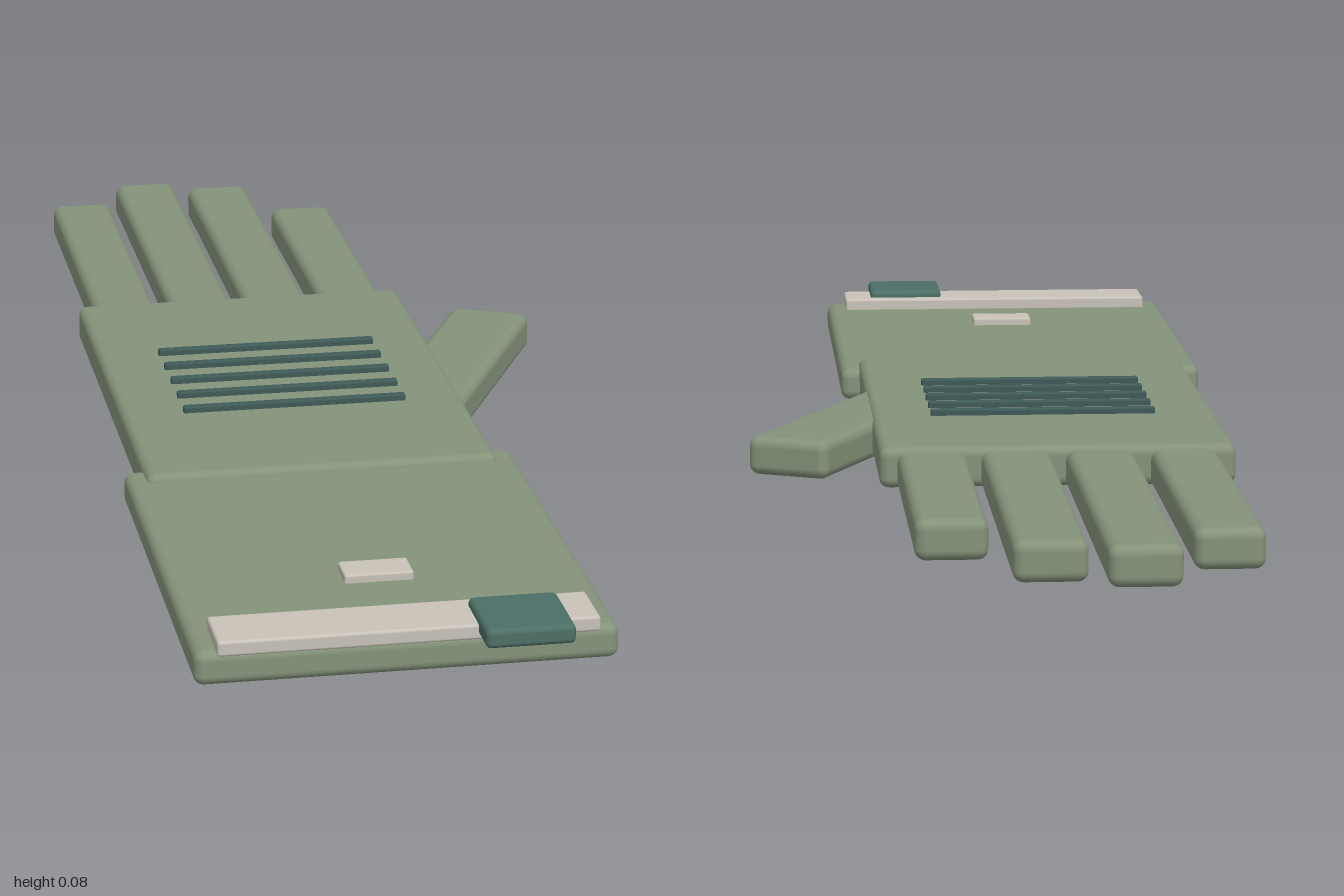
import * as THREE from 'three';
import { RoundedBoxGeometry } from 'three/addons/geometries/RoundedBoxGeometry.js';

export function createModel() {
  const model = new THREE.Group();
  model.name = 'glove';

  const material = (name, color) => {
    const m = new THREE.MeshStandardMaterial({ color });
    m.name = name;
    return m;
  };
  const fabric = material('sage fabric', 0x84937a);
  const trim = material('pale trim', 0xc8c2b8);
  const teal = material('dark teal', 0x4c6f66);
  const ribTeal = material('rib teal', 0x3f5a57);

  // Rounded block given by its extents on each axis
  function block(name, mat, [x0, x1], [y0, y1], [z0, z1], radius, parent = model) {
    const geometry = new RoundedBoxGeometry(x1 - x0, y1 - y0, z1 - z0, 3, radius);
    const mesh = new THREE.Mesh(geometry, mat);
    mesh.name = name;
    mesh.position.set((x0 + x1) / 2, (y0 + y1) / 2, (z0 + z1) / 2);
    parent.add(mesh);
    return mesh;
  }

  // Cuff and palm
  block('cuff', fabric, [-0.34, 0.19], [0.004, 0.049], [0.3, 0.945], 0.013);
  block('palm', fabric, [-0.315, 0.163], [0.004, 0.059], [-0.38, 0.355], 0.013);

  // Four fingers: left edge, right edge, tip
  const fingers = new THREE.Group();
  fingers.name = 'fingers';
  model.add(fingers);
  [
    [-0.29, -0.2, -0.905],
    [-0.178, -0.086, -1],
    [-0.066, 0.027, -0.965],
    [0.047, 0.139, -0.83],
  ].forEach(([x0, x1, tip], i) =>
    block('finger' + (i + 1), fabric, [x0, x1], [0, 0.053], [tip, -0.33], 0.014, fingers));

  // Thumb, angled out from the palm
  const thumb = block('thumb', fabric, [-0.059, 0.059], [0, 0.053], [-0.22, 0.22], 0.014);
  thumb.position.set(0.189, 0.0265, -0.075);
  thumb.rotation.y = -0.452;

  // Raised ribs across the back of the hand
  const ribs = new THREE.Group();
  ribs.name = 'ribs';
  model.add(ribs);
  for (let i = 0; i < 5; i++) {
    const z = -0.135 + i * 0.0615;
    block('rib' + (i + 1), ribTeal, [-0.23, 0.082], [0.054, 0.068], [z - 0.006, z + 0.006], 0.003, ribs);
  }

  // Wrist strap, buckle and small tag
  block('strap', trim, [-0.313, 0.163], [0.046, 0.066], [0.868, 0.954], 0.004);
  block('buckle', teal, [0.01, 0.122], [0.051, 0.076], [0.885, 1], 0.007);
  block('tag', trim, [-0.12, -0.031], [0.045, 0.06], [0.702, 0.752], 0.003);

  return model;
}
